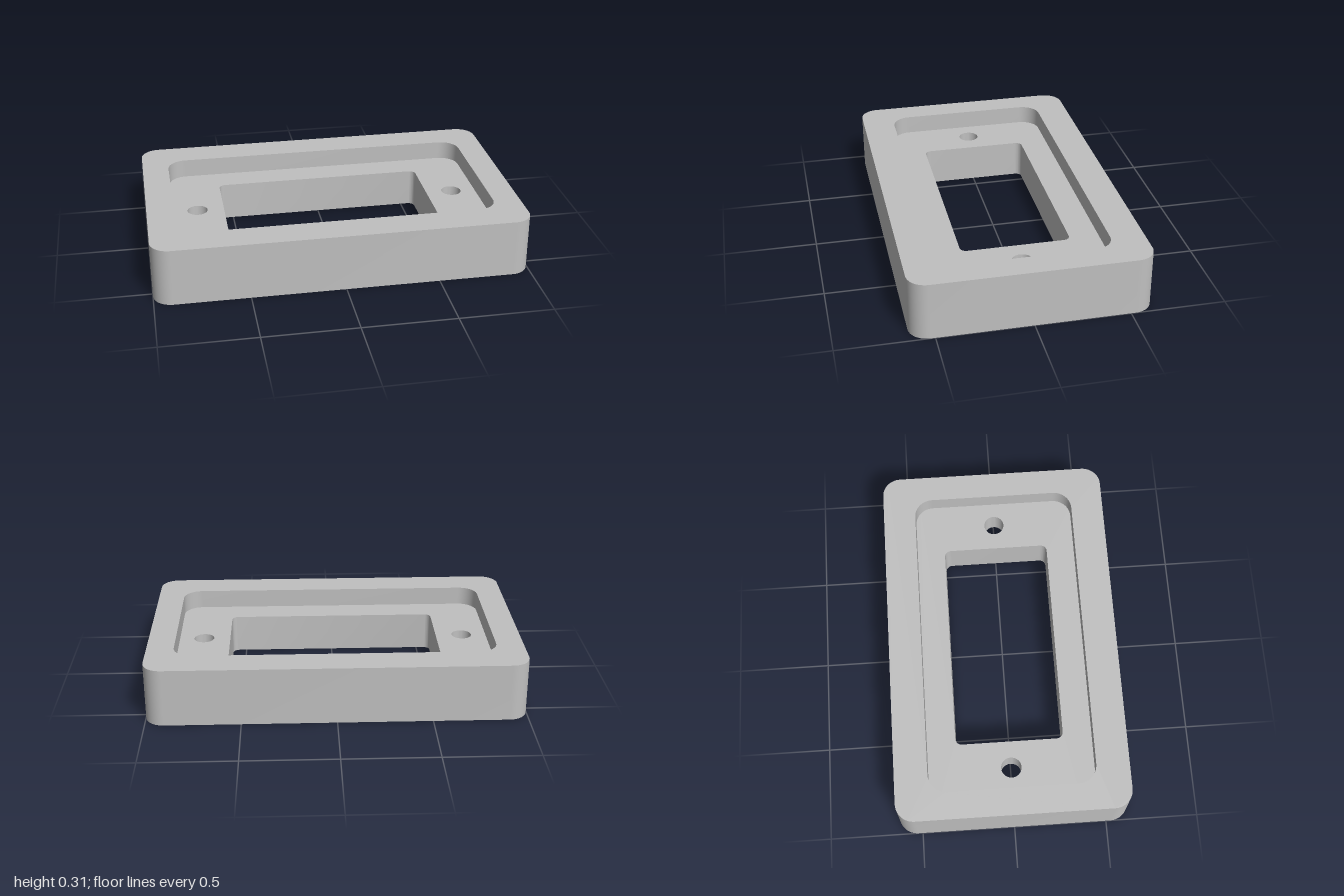
import * as THREE from 'three';
import { toCreasedNormals } from 'three/addons/utils/BufferGeometryUtils.js';

const HEIGHT = 0.3125, FLOOR = 0.21, POCKET = 0.075, HOLE_X = 0.72;

// Counter-clockwise outline of a rounded rectangle, given half sizes
function roundedRect(hx, hz, r, steps = 12) {
  const points = [];
  [[1, 1], [-1, 1], [-1, -1], [1, -1]].forEach(([sx, sz], corner) => {
    for (let i = 0; i <= steps; i++) {
      const a = (corner + i / steps) * Math.PI / 2;
      points.push(new THREE.Vector2(sx * (hx - r) + r * Math.cos(a), sz * (hz - r) + r * Math.sin(a)));
    }
  });
  return points;
}

// Regular polygon with a vertex on the x axis
function polygon(cx, r, sides) {
  return Array.from({ length: sides }, (_, i) => {
    const a = i / sides * Math.PI * 2;
    return new THREE.Vector2(cx + r * Math.cos(a), r * Math.sin(a));
  });
}

// Flat face with holes, facing up or down
function face(outline, holes, y, up) {
  const shape = new THREE.Shape(outline);
  shape.holes = holes.map((h) => new THREE.Path(h));
  return new THREE.ShapeGeometry(shape).rotateX(up ? -Math.PI / 2 : Math.PI / 2).translate(0, y, 0);
}

// Upright wall along an outline, facing outward or inward
function wall(outline, y0, y1, inward) {
  const position = [];
  outline.forEach((a, i) => {
    const b = outline[(i + 1) % outline.length];
    const [p, q] = inward ? [b, a] : [a, b];
    position.push(p.x, y0, -p.y, q.x, y0, -q.y, q.x, y1, -q.y);
    position.push(p.x, y0, -p.y, q.x, y1, -q.y, p.x, y1, -p.y);
  });
  const geometry = new THREE.BufferGeometry();
  geometry.setAttribute('position', new THREE.Float32BufferAttribute(position, 3));
  return toCreasedNormals(geometry, 0.6);
}

export function createModel() {
  const group = new THREE.Group();
  group.name = 'bezelFrame';
  const grey = new THREE.MeshStandardMaterial({ color: 0xc0c0c0 });
  grey.name = 'light grey';
  const add = (name, geometry) => {
    const mesh = new THREE.Mesh(geometry, grey);
    mesh.name = name;
    group.add(mesh);
  };

  const outer = roundedRect(1, 0.625, 0.1);
  const recess = roundedRect(0.855, 0.447, 0.1);
  const opening = roundedRect(0.575, 0.292, 0.035);
  const bores = [-1, 1].map((s) => polygon(s * HOLE_X, 0.055, 40));
  const hexes = [-1, 1].map((s) => polygon(s * HOLE_X, 0.106, 6));

  // Frame body
  add('outerWall', wall(outer, 0, HEIGHT, false));
  add('topRim', face(outer, [recess], HEIGHT, true));
  add('underside', face(outer, [opening, ...hexes], 0, false));

  // Stepped recess and central opening
  add('recessWall', wall(recess, FLOOR, HEIGHT, true));
  add('recessFloor', face(recess, [opening, ...bores], FLOOR, true));
  add('openingWall', wall(opening, 0, FLOOR, true));

  // Screw holes with hexagonal nut pockets below
  bores.forEach((bore, i) => {
    const side = i ? 'left' : 'right';
    add(side + 'ScrewHole', wall(bore, POCKET, FLOOR, true));
    add(side + 'NutPocketWall', wall(hexes[i], 0, POCKET, true));
    add(side + 'NutPocketCeiling', face(hexes[i], [bore], POCKET, false));
  });

  return group;
}
